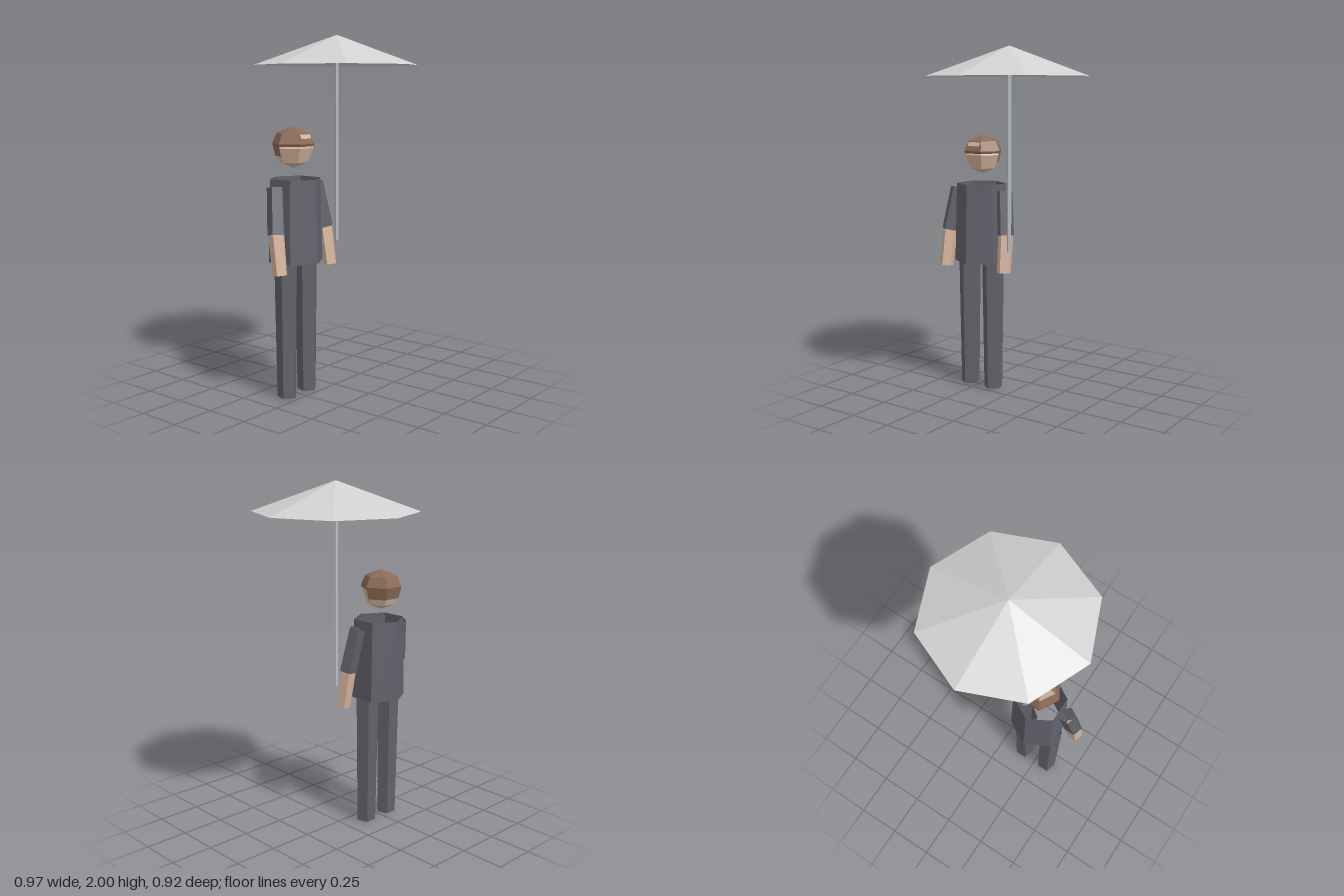
import * as THREE from 'three';

const paint = (name, color) =>
  new THREE.MeshStandardMaterial({ name, color, flatShading: true, side: THREE.DoubleSide });

export function createModel() {
  const model = new THREE.Group();
  const jacket = paint('jacket grey', 0x62626c);
  const cloth = paint('trouser grey', 0x626269);
  const skin = paint('skin', 0xd9b8a0);
  const brown = paint('hair brown', 0x8a6a55);
  const canopyGrey = paint('canopy grey', 0xd0d0d0);
  const metal = paint('pole metal', 0xb8bec8);
  const UP = new THREE.Vector3(0, 1, 0);

  const add = (parent, name, geometry, material, x = 0, y = 0, z = 0) => {
    const mesh = new THREE.Mesh(geometry, material);
    mesh.name = name;
    mesh.position.set(x, y, z);
    parent.add(mesh);
    return mesh;
  };

  // Open prism running from the bottom point to the top point
  const tube = (parent, name, material, bottom, top, rBottom, rTop, sides) => {
    const a = new THREE.Vector3(...bottom), b = new THREE.Vector3(...top);
    const dir = b.clone().sub(a);
    const geometry = new THREE.CylinderGeometry(rTop, rBottom, dir.length(), sides, 1, true);
    const mesh = add(parent, name, geometry, material);
    mesh.position.copy(a).add(b).multiplyScalar(0.5);
    mesh.quaternion.setFromUnitVectors(UP, dir.normalize());
    return mesh;
  };

  // Figure, standing beside the umbrella
  const figure = new THREE.Group();
  figure.name = 'figure';
  figure.position.x = -0.236;
  model.add(figure);

  tube(figure, 'torso', jacket, [0, 0.76, -0.085], [0, 1.22, -0.085], 0.158, 0.145, 6);

  for (const [side, s] of [['left', 1], ['right', -1]]) {
    tube(figure, side + 'Leg', cloth, [s * 0.085, 0, -0.08], [s * 0.085, 0.765, -0.08], 0.056, 0.067, 5);
    tube(figure, side + 'Sleeve', jacket, [s * 0.203, 0.934, -0.042], [s * 0.168, 1.183, -0.08], 0.05, 0.047, 5);
    tube(figure, side + 'Forearm', skin, [s * 0.21, 0.72, -0.012], [s * 0.203, 0.936, -0.042], 0.041, 0.046, 5);
  }

  // Head with hair cap, nape and forehead
  const head = new THREE.Group();
  head.name = 'head';
  head.position.set(0, 1.387, -0.1);
  figure.add(head);
  add(head, 'face', new THREE.SphereGeometry(0.112, 6, 4), skin);

  const lathe = (points, segments, start, length) =>
    new THREE.LatheGeometry(points.map(p => new THREE.Vector2(...p)), segments, start, length);
  add(head, 'hairCap',
    lathe([[0.112, 0.009], [0.118, 0.023], [0.092, 0.08], [0, 0.116]], 6, Math.PI / 6, Math.PI * 2), brown);
  add(head, 'napeHair', lathe([[0.101, -0.044], [0.117, 0.02]], 3, Math.PI / 2, Math.PI), brown);
  add(head, 'forehead', new THREE.BoxGeometry(0.08, 0.025, 0.006), skin, 0, 0.062, 0.0875).rotation.x = -0.41;

  // Umbrella
  const umbrella = new THREE.Group();
  umbrella.name = 'umbrella';
  umbrella.position.x = 0.02;
  model.add(umbrella);
  add(umbrella, 'canopy', new THREE.ConeGeometry(0.46, 0.165, 8, 1, true), canopyGrey, 0, 1.9175, 0);
  tube(umbrella, 'pole', metal, [0, 0.85, 0], [0, 1.9, 0], 0.012, 0.012, 5);

  return model;
}
